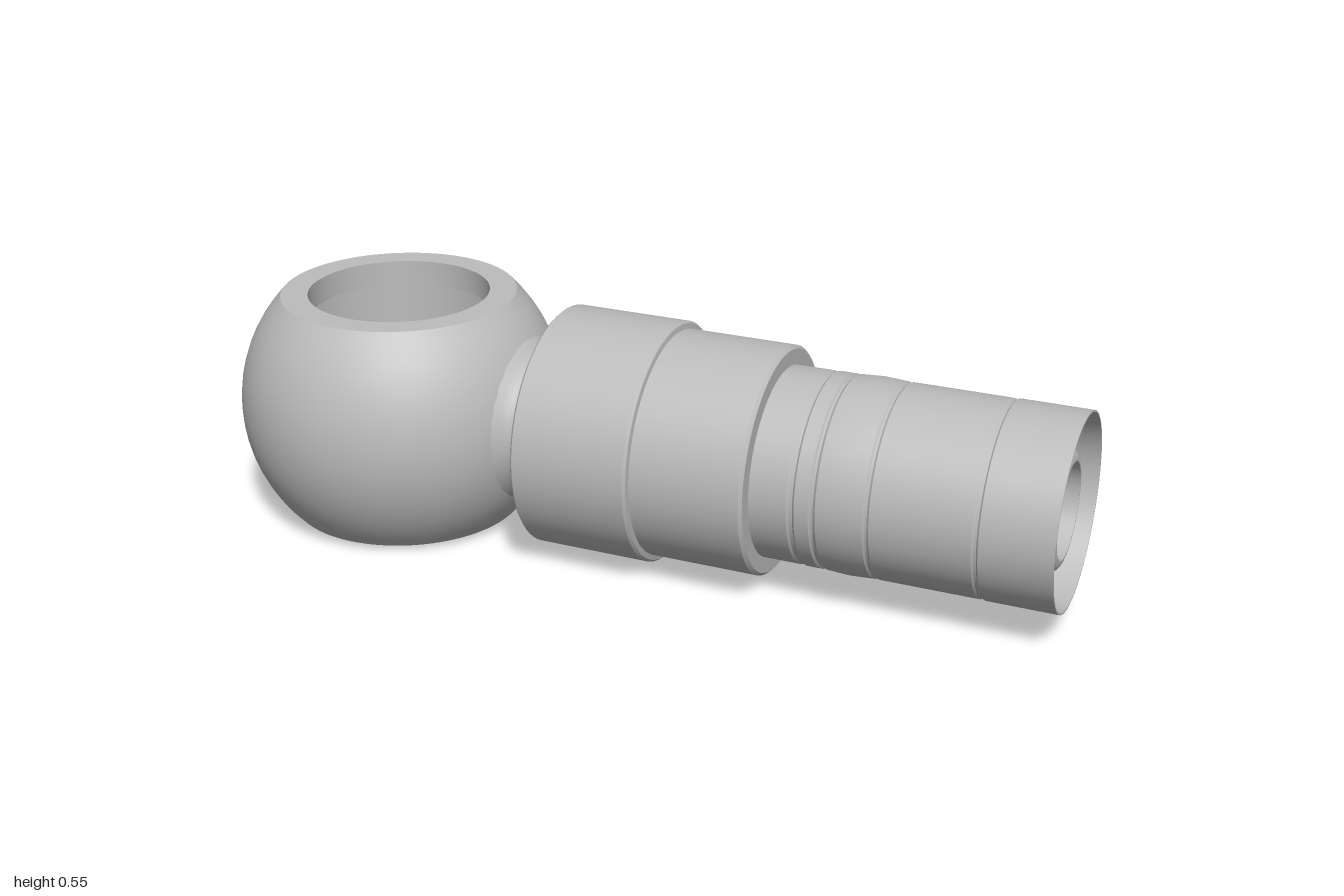
import * as THREE from 'three';
import { toCreasedNormals } from 'three/addons/utils/BufferGeometryUtils.js';
import { ParametricGeometry } from 'three/addons/geometries/ParametricGeometry.js';

const BALL_X = -0.62, AXIS_Y = 0.28;
const BALL_R = 0.382, HALF_H = 0.265, EYE_R = 0.212; // truncated ball and its eye
const CAV_R = 0.25, CAV_H = 0.205, BORE_R = 0.107;   // cavity in the ball, bore through the stem
const PATCH = 0.7;                                   // half angle of the wall patch around the bore

const steel = new THREE.MeshStandardMaterial({ color: 0xbcbcbc, side: THREE.DoubleSide });
steel.name = 'steel grey';

function mesh(name, geometry) {
  const m = new THREE.Mesh(geometry, steel);
  m.name = name;
  return m;
}

// Turned part from [radius, height] pairs, with sharp edges kept
function turned(points, start = 0, sweep = Math.PI * 2) {
  const profile = points.map(([r, h]) => new THREE.Vector2(r, h));
  return toCreasedNormals(new THREE.LatheGeometry(profile, 72, start, sweep), 0.5);
}

// The same, laid along +x
const turnedX = (points) => turned(points).rotateZ(-Math.PI / 2);

export function createModel() {
  const group = new THREE.Group();

  // Ball eye: truncated sphere with a lipped hole top and bottom
  const ball = new THREE.Group();
  ball.name = 'ballEye';
  ball.position.set(BALL_X, AXIS_Y, 0);
  const shell = [[CAV_R, -CAV_H], [EYE_R, -CAV_H], [EYE_R, -HALF_H]];
  const limit = Math.asin(HALF_H / BALL_R);
  for (let i = 0; i <= 16; i++) {
    const a = -limit + (2 * limit * i) / 16;
    shell.push([BALL_R * Math.cos(a), BALL_R * Math.sin(a)]);
  }
  shell.push([EYE_R, HALF_H], [EYE_R, CAV_H], [CAV_R, CAV_H]);
  ball.add(mesh('ballShell', turned(shell)));

  // Cavity wall, left open toward the stem
  ball.add(mesh('cavityWall', turned([[CAV_R, CAV_H], [CAV_R, -CAV_H]],
    Math.PI / 2 + PATCH, 2 * Math.PI - 2 * PATCH)));

  // Wall patch with the round bore opening
  ball.add(mesh('borePort', new ParametricGeometry((u, v, p) => {
    const c = -Math.cos(u * 2 * Math.PI), s = Math.sin(u * 2 * Math.PI);
    const k = Math.max(Math.abs(c), Math.abs(s));
    const phi = THREE.MathUtils.lerp(Math.asin(BORE_R * c / CAV_R), PATCH * c / k, v);
    const y = THREE.MathUtils.lerp(BORE_R * s, CAV_H * s / k, v);
    p.set(CAV_R * Math.cos(phi), y, CAV_R * Math.sin(phi));
  }, 64, 6)));
  group.add(ball);

  const stem = new THREE.Group();
  stem.name = 'stem';
  stem.position.y = AXIS_Y;

  // Neck with fillets into ball and collar
  stem.add(mesh('neck', turnedX([
    [0.195, -0.295], [0.178, -0.275], [0.167, -0.26], [0.162, -0.245],
    [0.162, -0.22], [0.166, -0.207], [0.176, -0.198],
  ])));

  // Stepped collar
  stem.add(mesh('collar', turnedX([
    [0.16, -0.2], [0.271, -0.2], [0.277, -0.194], [0.277, 0.072], [0.272, 0.078],
    [0.26, 0.08], [0.26, 0.333], [0.253, 0.34], [0.2, 0.34],
  ])));

  // Thin crimp sleeve with shallow grooves, flared socket and floor
  stem.add(mesh('sleeve', turnedX([
    [0.217, 0.34], [0.217, 0.425], [0.213, 0.43], [0.213, 0.438], [0.218, 0.443],
    [0.218, 0.475], [0.213, 0.479], [0.213, 0.484], [0.218, 0.49], [0.221, 0.54],
    [0.218, 0.594], [0.214, 0.598], [0.214, 0.603], [0.218, 0.608],
    [0.218, 0.828], [0.215, 0.832], [0.215, 0.838], [0.219, 0.842], [0.219, 1],
    [0.215, 1], [0.198, 0.8], [0.13, 0.8],
  ])));

  // Inner nipple with rounded lip
  const nipple = [[0.138, 0.8]];
  for (let i = 0; i <= 8; i++) {
    const a = (Math.PI / 2) * (i / 8);
    nipple.push([0.108 + 0.03 * Math.cos(a), 0.95 + 0.03 * Math.sin(a)]);
  }
  nipple.push([BORE_R, 0.98]);
  stem.add(mesh('nipple', turnedX(nipple)));

  // Bore from the nipple mouth to the ball cavity
  stem.add(mesh('bore', new ParametricGeometry((u, v, p) => {
    const z = -BORE_R * Math.cos(u * 2 * Math.PI), y = BORE_R * Math.sin(u * 2 * Math.PI);
    const inner = BALL_X + Math.sqrt(CAV_R * CAV_R - z * z);
    p.set(THREE.MathUtils.lerp(0.98, inner, v), y, z);
  }, 64, 2)));
  group.add(stem);

  return group;
}
